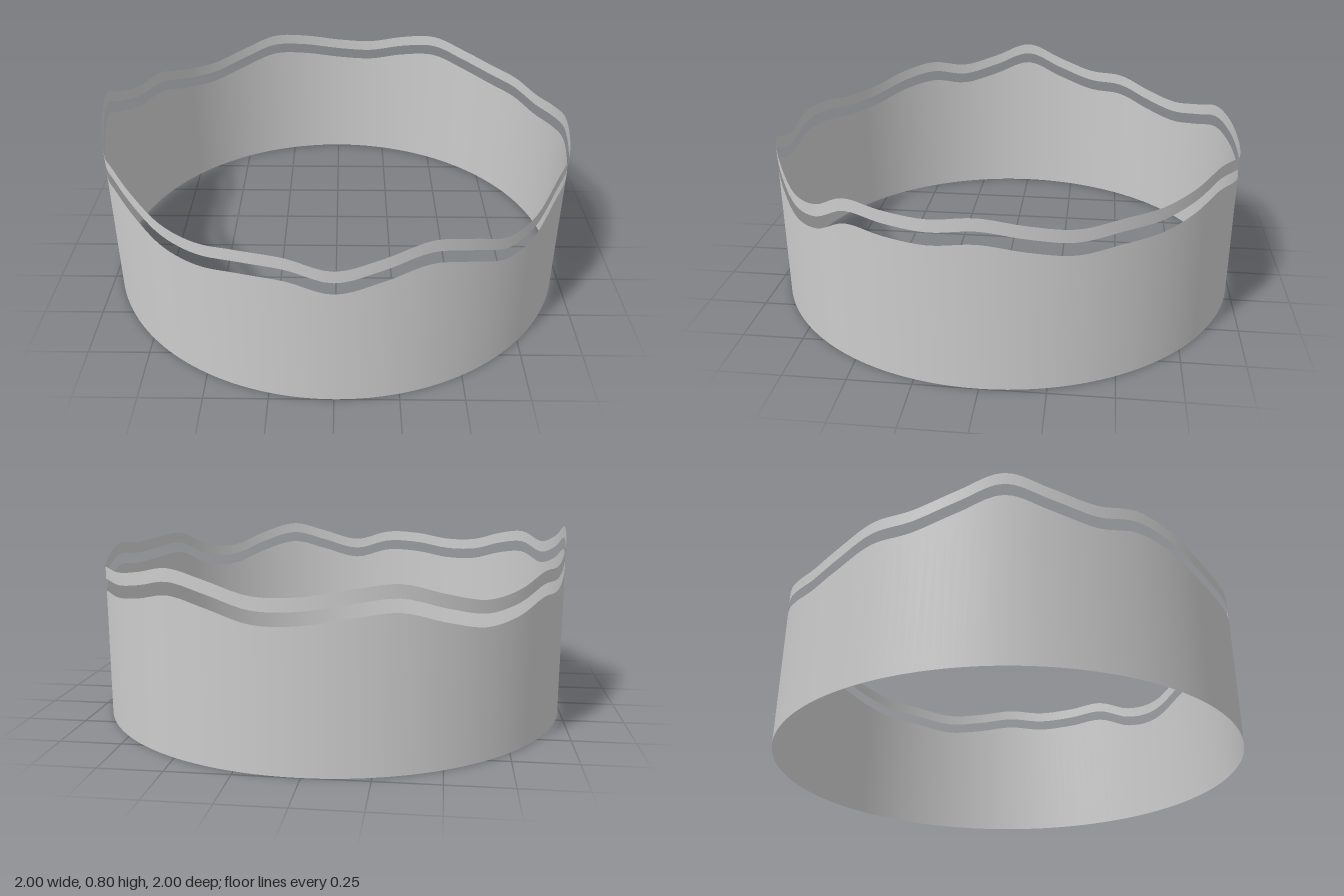
import * as THREE from 'three';

// Height of the wavy upper rim every 10 degrees, from the front (+z) round towards +x
const RIM = [
  0.605, 0.65, 0.695, 0.653, 0.593, 0.607, 0.683, 0.677, 0.673,
  0.693, 0.665, 0.64, 0.655, 0.66, 0.685, 0.717, 0.688, 0.645,
  0.648, 0.675, 0.69, 0.645, 0.61, 0.628, 0.673, 0.674, 0.727,
  0.795, 0.733, 0.688, 0.716, 0.69, 0.642, 0.63, 0.65, 0.65,
];
const GAP = 0.05;
const STRIP = 0.05;

// Smooth periodic interpolation of the rim, u in 0..1 around the ring
function rimHeight(u) {
  const n = RIM.length;
  const i = Math.floor(u * n);
  const t = u * n - i;
  const [a, b, c, d] = [-1, 0, 1, 2].map((k) => RIM[(i + k + n) % n]);
  return b + 0.5 * t * (c - a + t * (2 * a - 5 * b + 4 * c - d + t * (3 * (b - c) + d - a)));
}

// Thin open band of radius 1 whose lower and upper edges follow the given functions of u
function band(name, lower, upper) {
  const geometry = new THREE.CylinderGeometry(1, 1, 1, 180, 1, true);
  const { position, uv } = geometry.attributes;
  for (let i = 0; i < position.count; i++) {
    const u = uv.getX(i) % 1;
    position.setY(i, position.getY(i) > 0 ? upper(u) : lower(u));
  }
  const material = new THREE.MeshStandardMaterial({ color: 0xcccccc, side: THREE.DoubleSide });
  const mesh = new THREE.Mesh(geometry, material);
  mesh.name = name;
  return mesh;
}

export function createModel() {
  const model = new THREE.Group();
  model.name = 'wavyRing';
  model.add(
    // Tall wall standing on the ground
    band('wall', () => 0, (u) => rimHeight(u) - STRIP - GAP),
    // Narrow strip floating above the wall along the same wave
    band('rimStrip', (u) => rimHeight(u) - STRIP, rimHeight),
  );
  return model;
}
